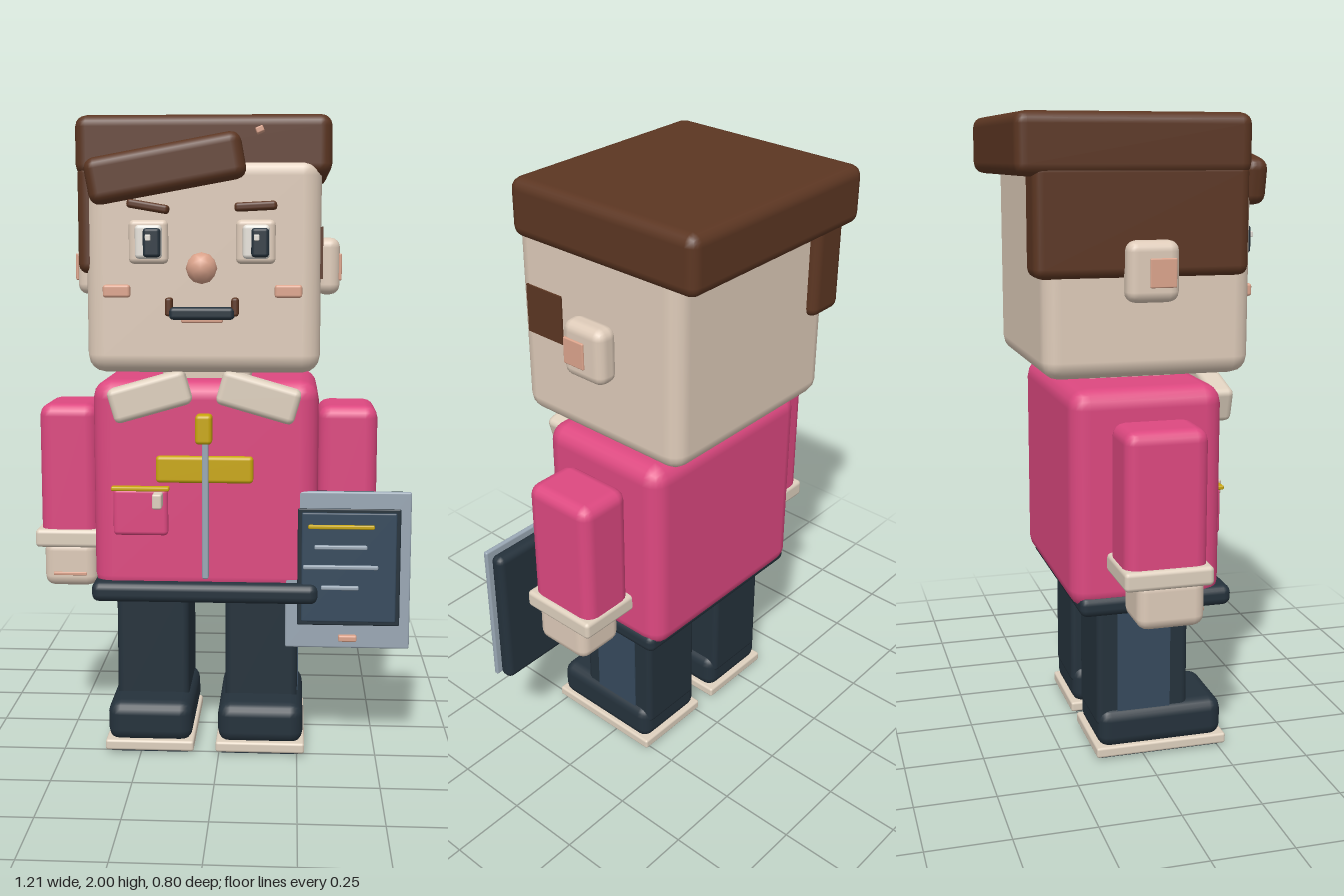
import * as THREE from 'three';
import { RoundedBoxGeometry } from 'three/addons/geometries/RoundedBoxGeometry.js';

const colours = {
  skin: 0xdecbb9, cream: 0xded0be, white: 0xe6e2da, blush: 0xdca48c, brown: 0x5c3622,
  pink: 0xdd4880, navy: 0x25323c, slate: 0x364a5d, silver: 0x9aa8b5, gold: 0xc9a70c,
};

export function createModel() {
  const model = new THREE.Group();
  model.name = 'blockyFigure';
  const mats = {};
  for (const [name, color] of Object.entries(colours)) {
    mats[name] = new THREE.MeshStandardMaterial({ color });
    mats[name].name = name;
  }

  // Rounded box given by its extents on each axis, optionally tilted about z
  const box = (name, mat, [x0, x1], [y0, y1], [z0, z1], r = 0.03, tilt = 0) => {
    const w = x1 - x0, h = y1 - y0, d = z1 - z0;
    const radius = Math.min(r, w * 0.45, h * 0.45, d * 0.45);
    const geo = r > 0 ? new RoundedBoxGeometry(w, h, d, 2, radius) : new THREE.BoxGeometry(w, h, d);
    const mesh = new THREE.Mesh(geo, mats[mat]);
    mesh.name = name;
    mesh.position.set((x0 + x1) / 2, (y0 + y1) / 2, (z0 + z1) / 2);
    mesh.rotation.z = tilt;
    model.add(mesh);
    return mesh;
  };
  const span = (c, size) => [c - size / 2, c + size / 2];
  const mid = -0.045; // centre line of the body

  // Head and hair
  box('head', 'skin', [-0.4, 0.31], [1.23, 1.875], [-0.32, 0.32], 0.055);
  box('neck', 'skin', span(mid, 0.28), [1.15, 1.27], [-0.14, 0.15], 0.02);
  box('hairTop', 'brown', [-0.43, 0.34], [1.82, 2], [-0.4, 0.305], 0.035);
  box('hairSide', 'brown', [-0.425, -0.29], [1.53, 1.86], [-0.35, 0.3], 0.03);
  box('fringe', 'brown', span(-0.155, 0.475), span(1.84, 0.14), [0.295, 0.368], 0.035, 0.18);
  box('hairPin', 'blush', span(0.126, 0.024), span(1.95, 0.018), [0.3, 0.347], 0.004, 0.4);
  box('sideburn', 'brown', [0.3, 0.316], [1.515, 1.67], [0.13, 0.275], 0);

  // Face
  for (const s of [-1, 1]) {
    const eyeX = mid + s * 0.16;
    box('eyeSocket', 'skin', span(eyeX, 0.118), [1.56, 1.69], [0.31, 0.345], 0.02);
    box('eyeWhite', 'white', span(eyeX + 0.002, 0.08), [1.575, 1.675], [0.32, 0.365], 0.012);
    box('pupil', 'navy', span(eyeX + 0.014, 0.052), [1.58, 1.665], [0.355, 0.383], 0.01);
    box('eyeGlint', 'white', span(eyeX + 0.004, 0.016), [1.628, 1.646], [0.38, 0.392], 0.003);
    box('eyebrow', 'brown', span(eyeX, 0.126), span(1.729, 0.026), [0.31, 0.36], 0.01, s < 0 ? -0.17 : 0.05);
    box('cheek', 'blush', span(mid + s * 0.258, 0.082), [1.46, 1.498], [0.31, 0.339], 0.008);
    box('mouthCorner', 'brown', span(mid + s * 0.099, 0.022), [1.405, 1.46], [0.31, 0.357], 0.008);

    // Ears
    box('ear', 'skin', span(mid + s * 0.38, 0.08), [1.46, 1.64], [-0.085, 0.075], 0.032);
    box('innerEar', 'blush', span(mid + s * 0.421, 0.01), [1.505, 1.59], [-0.02, 0.06], 0.004);
  }
  const noseGeo = new THREE.IcosahedronGeometry(0.047, 1);
  const nose = new THREE.Mesh(noseGeo, mats.blush);
  nose.name = 'nose';
  nose.position.set(mid, 1.548, 0.353);
  model.add(nose);
  box('mouth', 'navy', span(mid, 0.195), [1.395, 1.432], [0.31, 0.365], 0.012);
  box('lowerLip', 'blush', span(mid, 0.125), [1.385, 1.4], [0.31, 0.345], 0.005);

  // Torso and belt
  box('torso', 'pink', [-0.4, 0.31], [0.515, 1.2], [-0.24, 0.24], 0.06);
  box('belt', 'navy', [-0.405, 0.312], [0.495, 0.56], [-0.215, 0.272], 0.025);
  for (const s of [-1, 1]) {
    box('collar', 'cream', span(mid + s * 0.169, 0.25), span(1.153, 0.11), [0.215, 0.29], 0.02, -s * 0.28);
  }

  // Shirt front details
  box('placket', 'silver', span(-0.042, 0.02), [0.575, 1.02], [0.235, 0.264], 0.005);
  box('chestBar', 'gold', span(mid, 0.305), [0.88, 0.965], [0.225, 0.258], 0.012);
  box('zipTag', 'gold', span(mid, 0.052), [1.008, 1.1], [0.24, 0.3], 0.012);
  box('pocket', 'pink', [-0.333, -0.16], [0.71, 0.86], [0.225, 0.255], 0.014);
  box('pocketTrim', 'gold', [-0.338, -0.155], [0.854, 0.868], [0.23, 0.264], 0.005);
  box('pocketClip', 'cream', [-0.205, -0.175], [0.805, 0.852], [0.25, 0.303], 0.006);

  for (const s of [-1, 1]) {
    // Arms
    const armX = mid + s * 0.45;
    box('sleeve', 'pink', span(armX, 0.19), [0.66, 1.11], [-0.125, 0.13], 0.04);
    box('cuff', 'cream', span(armX, 0.222), [0.64, 0.7], [-0.132, 0.142], 0.014);
    box('hand', 'skin', span(armX, 0.175), [0.505, 0.66], [-0.085, 0.125], 0.035);
    box('fingerLine', 'blush', span(armX, 0.11), [0.545, 0.556], [0.121, 0.129], 0.003);

    // Legs and shoes
    const legX = mid + s * 0.177;
    box('leg', 'navy', span(legX, 0.235), [0.1, 0.53], [-0.148, 0.15], 0.02);
    box('legStripe', 'slate', span(legX + s * 0.117, 0.008), [0.15, 0.5], [-0.083, 0.09], 0);
    box('shoe', 'navy', span(legX, 0.272), [0.03, 0.162], [-0.145, 0.265], 0.04);
    box('sole', 'cream', span(legX, 0.284), [0.008, 0.042], [-0.155, 0.275], 0.008);
    box('tread', 'navy', span(legX, 0.246), [0, 0.012], [-0.136, 0.256], 0);
  }

  // Tablet held at the front
  box('tabletBack', 'navy', [0.215, 0.597], [0.355, 0.848], [0.165, 0.216], 0.022);
  box('tabletFrame', 'silver', [0.21, 0.602], [0.35, 0.855], [0.222, 0.239], 0.006);
  box('tabletJoint', 'navy', [0.25, 0.56], [0.4, 0.81], [0.2, 0.23], 0);
  box('screenBorder', 'navy', [0.247, 0.57], [0.425, 0.802], [0.23, 0.243], 0.005);
  box('screen', 'slate', [0.26, 0.557], [0.438, 0.789], [0.235, 0.249], 0.005);
  const lines = [['gold', 0.28, 0.487, 0.745], ['silver', 0.3, 0.465, 0.68],
    ['silver', 0.265, 0.5, 0.616], ['silver', 0.322, 0.44, 0.55]];
  for (const [mat, x0, x1, y] of lines) {
    box('screenLine', mat, [x0, x1], span(y, 0.013), [0.244, 0.258], 0.004);
  }
  box('tabletButton', 'blush', [0.378, 0.436], span(0.385, 0.02), [0.235, 0.256], 0.005);

  return model;
}
